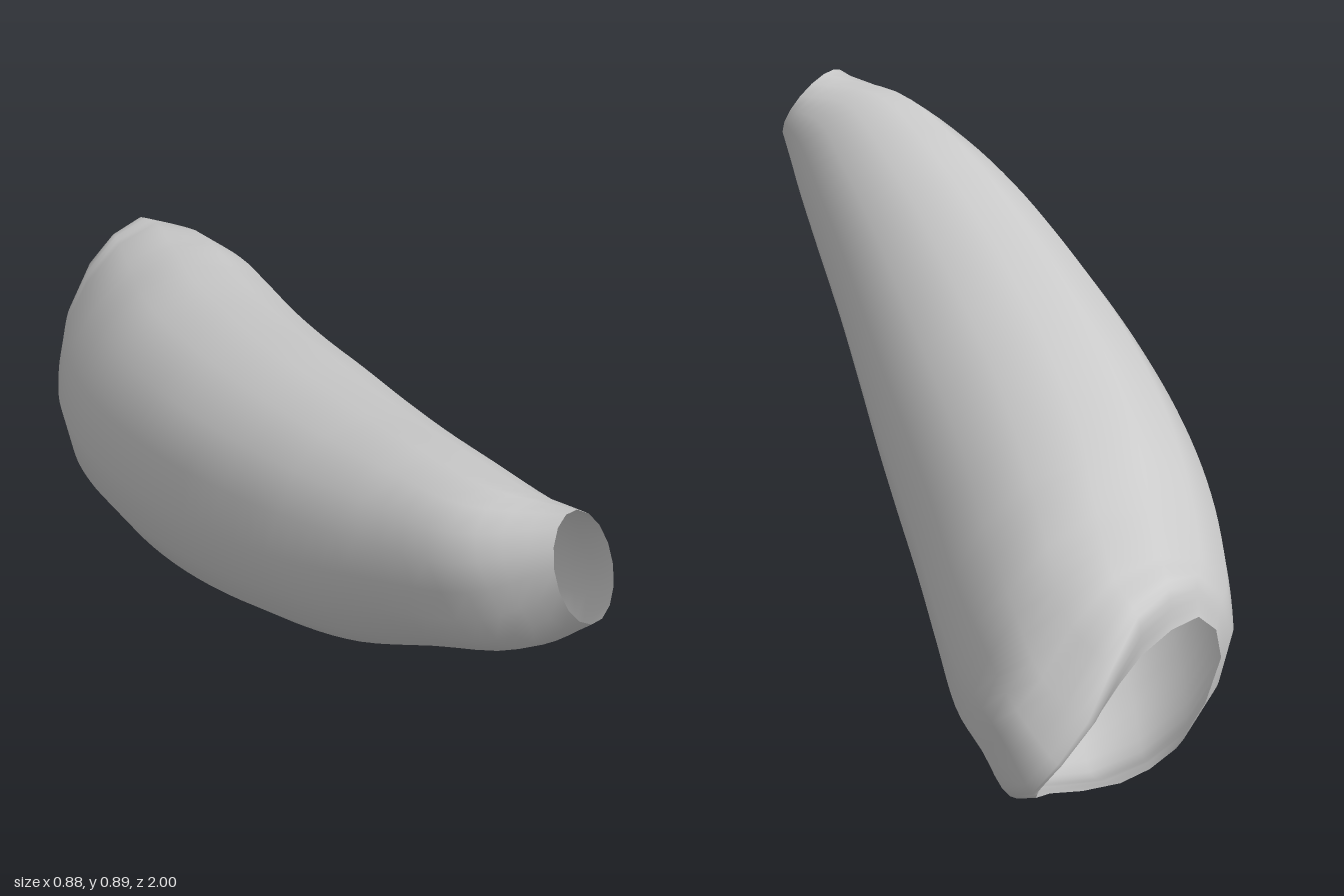
import * as THREE from 'three';
import { ParametricGeometry } from 'three/addons/geometries/ParametricGeometry.js';

// Cross-sections along the sleeve: z, xMin, xMax, yMin, yMax
const SECTIONS = [
  [-0.9, -0.38, 0.05, 0.14, 0.52],
  [-0.8, -0.42, 0.085, 0.06, 0.585],
  [-0.6, -0.43, 0.13, -0.006, 0.622],
  [-0.4, -0.44, 0.16, 0.028, 0.663],
  [-0.2, -0.42, 0.20, 0.078, 0.702],
  [0.0, -0.37, 0.245, 0.13, 0.745],
  [0.2, -0.30, 0.285, 0.20, 0.782],
  [0.4, -0.21, 0.325, 0.285, 0.82],
  [0.6, -0.10, 0.372, 0.39, 0.857],
  [0.8, 0.06, 0.42, 0.53, 0.88],
  [0.9, 0.17, 0.437, 0.61, 0.88],
];

// Smooth bump around the angle c
const bump = (a, c) => Math.max(0, Math.cos(a - c)) ** 6;

// Point of the sleeve body at depth z and angle a
function bodyPoint(z, a) {
  let i = 0;
  while (i < SECTIONS.length - 2 && z > SECTIONS[i + 1][0]) i++;
  const p = SECTIONS[i], q = SECTIONS[i + 1];
  const t = THREE.MathUtils.clamp((z - p[0]) / (q[0] - p[0]), 0, 1);
  const [, x0, x1, y0, y1] = p.map((v, k) => THREE.MathUtils.lerp(v, q[k], t));
  // Fuller underarm seam, flatter cap near the shoulder
  const underarm = THREE.MathUtils.clamp(0.045 - 0.11 * z, 0, 0.1);
  const cap = THREE.MathUtils.clamp(-0.4 * (z + 0.65), 0, 0.09);
  const r = 1 + underarm * bump(a, -Math.PI / 4) - cap * bump(a, Math.PI / 4);
  return new THREE.Vector3(
    (x0 + x1) / 2 + ((x1 - x0) / 2) * r * Math.cos(a),
    (y0 + y1) / 2 + ((y1 - y0) / 2) * r * Math.sin(a),
    z,
  );
}

// Round cuff opening, tilted in space
const cuffNormal = new THREE.Vector3(0.70, 0.46, 0.55).normalize();
const cuffU = new THREE.Vector3(1, 0, 0).projectOnPlane(cuffNormal).normalize();
const cuffV = cuffNormal.clone().cross(cuffU);
function cuffPoint(a) {
  return new THREE.Vector3(0.363, 0.79, 0.915)
    .addScaledVector(cuffU, 0.102 * Math.cos(a))
    .addScaledVector(cuffV, 0.102 * Math.sin(a));
}

// Closed loops around the armhole, one point every 45 degrees from +x
const loop = (points) =>
  new THREE.CatmullRomCurve3(points.map((p) => new THREE.Vector3(...p)), true);

// Outer ridge where the sleeve cap turns over
const ridge = loop([
  [0.0, 0.26, -0.985], [-0.1, 0.41, -0.975], [-0.2, 0.555, -0.86], [-0.33, 0.53, -0.72],
  [-0.415, 0.34, -0.64], [-0.335, 0.11, -0.65], [-0.17, 0.035, -0.69], [0.02, 0.10, -0.77],
]);

// Edge of the opening, folded inward under the cap
const edge = loop([
  [-0.015, 0.24, -0.955], [-0.13, 0.35, -0.88], [-0.21, 0.46, -0.85], [-0.33, 0.47, -0.75],
  [-0.39, 0.32, -0.68], [-0.31, 0.11, -0.69], [-0.195, 0.07, -0.74], [-0.05, 0.12, -0.82],
]);

// Lengthwise curve at angle a, from armhole edge to cuff
function meridian(a) {
  const turn = a / (Math.PI * 2);
  const top = ridge.getPoint(turn), cuff = cuffPoint(a);
  const points = [edge.getPoint(turn), top];
  const z0 = top.z + 0.08, z1 = cuff.z - 0.08, n = 9;
  for (let i = 0; i <= n; i++) points.push(bodyPoint(z0 + ((z1 - z0) * i) / n, a));
  points.push(cuff);
  return new THREE.CatmullRomCurve3(points);
}

export function createModel() {
  const group = new THREE.Group();
  group.name = 'sleeve';
  const geometry = new ParametricGeometry(
    (u, v, target) => target.copy(meridian(u * Math.PI * 2).getPoint(v)), 16, 48);
  const material = new THREE.MeshStandardMaterial({ color: 0xcccccc, side: THREE.DoubleSide });
  const body = new THREE.Mesh(geometry, material);
  body.name = 'sleeveBody';
  group.add(body);
  return group;
}
